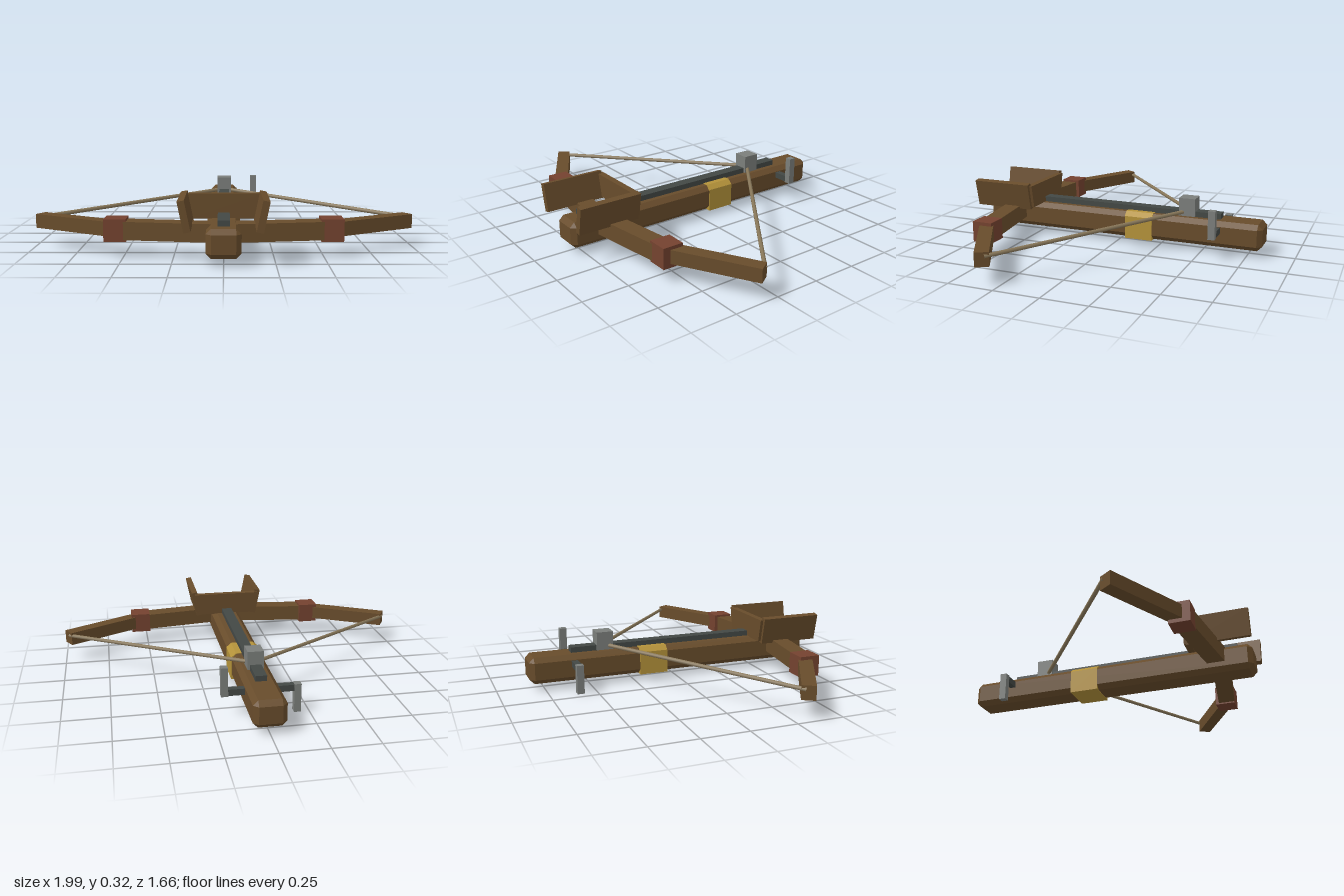
import * as THREE from 'three';
import { ConvexGeometry } from 'three/addons/geometries/ConvexGeometry.js';

const mat = (name, color) => {
  const m = new THREE.MeshStandardMaterial({ color });
  m.name = name;
  return m;
};

export function createModel() {
  const model = new THREE.Group();
  model.name = 'crossbow';

  const wood = mat('brown wood', 0x684c2b);
  const leather = mat('red leather', 0x74422f);
  const brass = mat('brass', 0xb4923a);
  const iron = mat('dark iron', 0x434845);
  const steel = mat('grey steel', 0x7b7e7b);
  const cord = mat('tan cord', 0x8a795b);

  const add = (name, geometry, material, parent = model) => {
    const mesh = new THREE.Mesh(geometry, material);
    mesh.name = name;
    parent.add(mesh);
    return mesh;
  };

  // Box given by its min and max corners
  const box = (name, material, [x0, y0, z0], [x1, y1, z1]) => {
    const mesh = add(name, new THREE.BoxGeometry(x1 - x0, y1 - y0, z1 - z0), material);
    mesh.position.set((x0 + x1) / 2, (y0 + y1) / 2, (z0 + z1) / 2);
    return mesh;
  };

  // Box with every edge and corner cut off
  const chamferedBox = (w, h, d, c) => {
    const points = [];
    for (const sx of [-1, 1]) for (const sy of [-1, 1]) for (const sz of [-1, 1]) {
      const [x, y, z] = [w / 2, h / 2, d / 2];
      points.push(
        new THREE.Vector3(sx * x, sy * (y - c), sz * (z - c)),
        new THREE.Vector3(sx * (x - c), sy * y, sz * (z - c)),
        new THREE.Vector3(sx * (x - c), sy * (y - c), sz * z));
    }
    return new ConvexGeometry(points);
  };

  // Plan outline of [x, z] points raised from y0 to y1
  const slab = (outline, y0, y1) => {
    const shape = new THREE.Shape(outline.map(([x, z]) => new THREE.Vector2(x, -z)));
    return new THREE.ExtrudeGeometry(shape, { depth: y1 - y0, bevelEnabled: false })
      .rotateX(-Math.PI / 2).translate(0, y0, 0);
  };

  // Stock, with the bolt rail and string catch on top
  add('stock', chamferedBox(0.17, 0.145, 1.65, 0.026), wood).position.set(0, 0.108, -0.006);
  box('rail', iron, [-0.03, 0.15, -0.595], [0.03, 0.21, 0.733]);
  box('stringCatch', steel, [-0.043, 0.183, -0.452], [0.043, 0.283, -0.36]);

  // Brass band: square below, chamfered above
  const bandShape = new THREE.Shape([
    [-0.089, 0.032], [0.089, 0.032], [0.089, 0.16], [0.062, 0.184], [-0.062, 0.184], [-0.089, 0.16],
  ].map(p => new THREE.Vector2(...p)));
  add('band', new THREE.ExtrudeGeometry(bandShape, { depth: 0.16, bevelEnabled: false }), brass)
    .position.z = -0.218;

  // Bow halves
  for (const [side, s] of [['left', 1], ['right', -1]]) {
    const mirror = pts => pts.map(([x, z]) => [s * x, z]);
    const half = new THREE.Group();
    half.name = side + 'BowHalf';
    model.add(half);

    add('innerLimb', slab(mirror([[0, 0.585], [0.54, 0.51], [0.54, 0.605], [0, 0.682]]), 0.088, 0.18), wood, half);
    add('outerLimb', slab(mirror([[0.54, 0.517], [0.957, 0.286], [0.995, 0.347], [0.57, 0.585]]), 0.1, 0.174), wood, half);
    add('limbWrap', new THREE.BoxGeometry(0.112, 0.112, 0.112), leather, half)
      .position.set(s * 0.54, 0.136, 0.555);

    // String from the limb tip to the catch
    const path = new THREE.LineCurve3(
      new THREE.Vector3(s * 0.97, 0.153, 0.308), new THREE.Vector3(s * 0.02, 0.205, -0.395));
    add('string', new THREE.TubeGeometry(path, 1, 0.011, 6), cord, half);

    // Flared side plate of the front guard
    const plate = add('guardSide', new THREE.BoxGeometry(0.034, 0.152, 0.345), wood, half);
    plate.position.set(s * 0.185, 0.243, 0.66);
    plate.rotation.z = -s * 0.2;
  }

  // Guard back plate
  const back = new THREE.Shape([[-0.172, 0.178], [0.172, 0.178], [0.197, 0.306], [-0.197, 0.306]]
    .map(p => new THREE.Vector2(...p)));
  add('guardBack', new THREE.ExtrudeGeometry(back, { depth: 0.035, bevelEnabled: false }), wood)
    .position.z = 0.472;

  // Winding crank: axle with one handle up and one down
  box('crankAxle', iron, [-0.185, 0.118, -0.606], [0.185, 0.152, -0.572]);
  box('leftCrankHandle', steel, [0.17, 0.115, -0.608], [0.206, 0.27, -0.57]);
  box('rightCrankHandle', steel, [-0.206, 0, -0.608], [-0.17, 0.155, -0.57]);

  return model;
}
